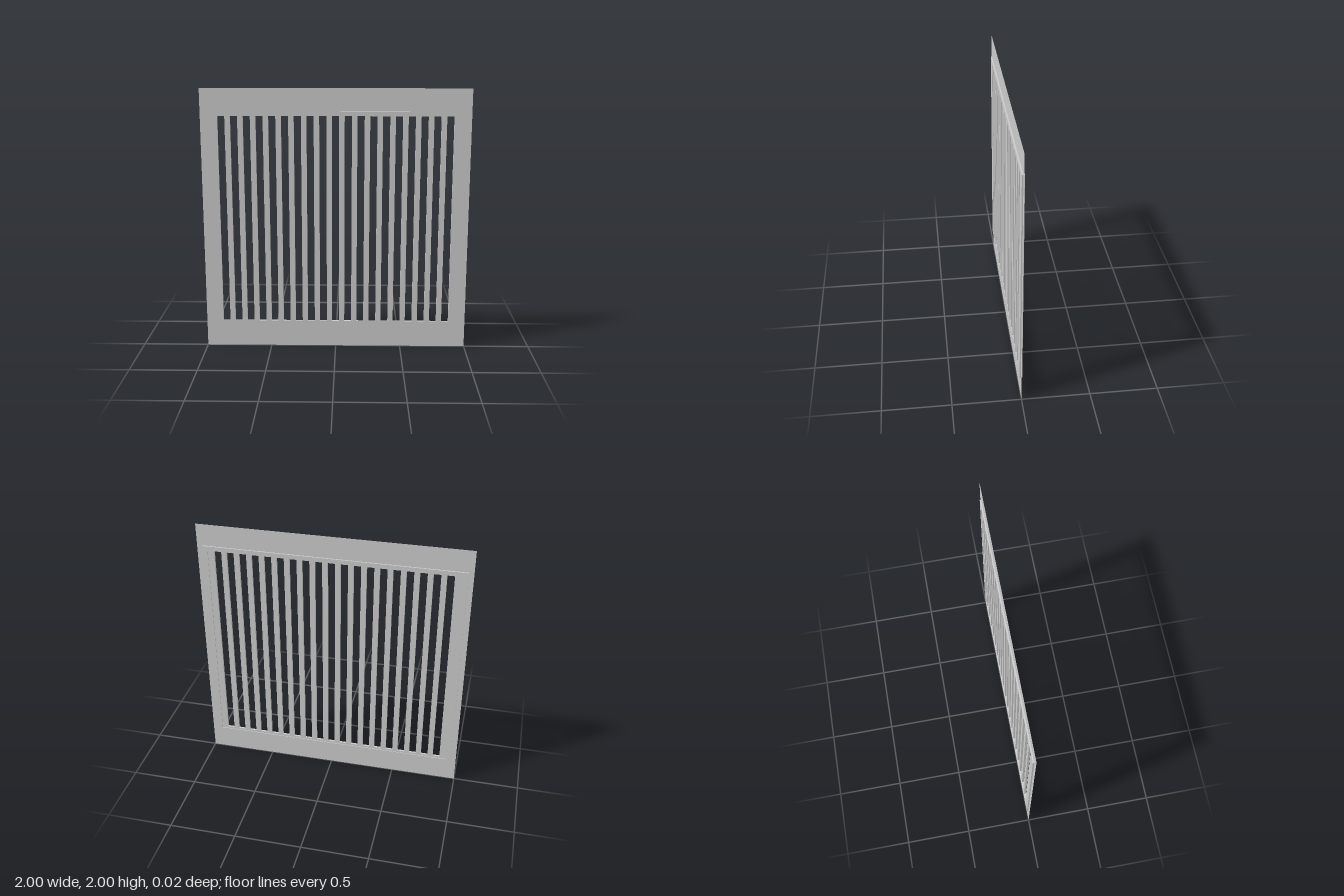
import * as THREE from 'three';

const material = new THREE.MeshStandardMaterial({ color: 0xcccccc, side: THREE.DoubleSide });
const CY = 1.002; // height of the grille centre

// Rectangle outline, used for both shapes and holes
function rect(Type, cx, cy, w, h) {
  const p = new Type();
  p.moveTo(cx - w / 2, cy - h / 2);
  p.lineTo(cx + w / 2, cy - h / 2);
  p.lineTo(cx + w / 2, cy + h / 2);
  p.lineTo(cx - w / 2, cy + h / 2);
  p.closePath();
  return p;
}

function plate(name, shape, z, depth) {
  const geometry = depth
    ? new THREE.ExtrudeGeometry(shape, { depth, bevelEnabled: false })
    : new THREE.ShapeGeometry(shape);
  const mesh = new THREE.Mesh(geometry, material);
  mesh.name = name;
  mesh.position.z = z;
  return mesh;
}

export function createModel() {
  const group = new THREE.Group();
  group.name = 'ventGrille';
  const W = 1.92, H = 1.662, RIM = 0.04;

  // Paper-thin square wall around the grille
  const wall = rect(THREE.Shape, 0, 1, 2, 2);
  wall.holes.push(rect(THREE.Path, 0, CY, W, H));
  group.add(plate('wallPanel', wall, 0, 0));

  // Grille plate with a row of upright slots
  const face = rect(THREE.Shape, 0, CY, W, H);
  for (let i = -9; i <= 9; i++) {
    face.holes.push(rect(THREE.Path, i * 0.0938, CY, 0.053, 1.59));
  }
  group.add(plate('slottedGrille', face, -0.005, 0.015));

  // Shallow rim around the back of the grille
  const rim = rect(THREE.Shape, 0, CY, W, H);
  rim.holes.push(rect(THREE.Path, 0, CY, W - 2 * RIM, H - RIM));
  group.add(plate('backRim', rim, -0.01, 0.005));

  return group;
}
